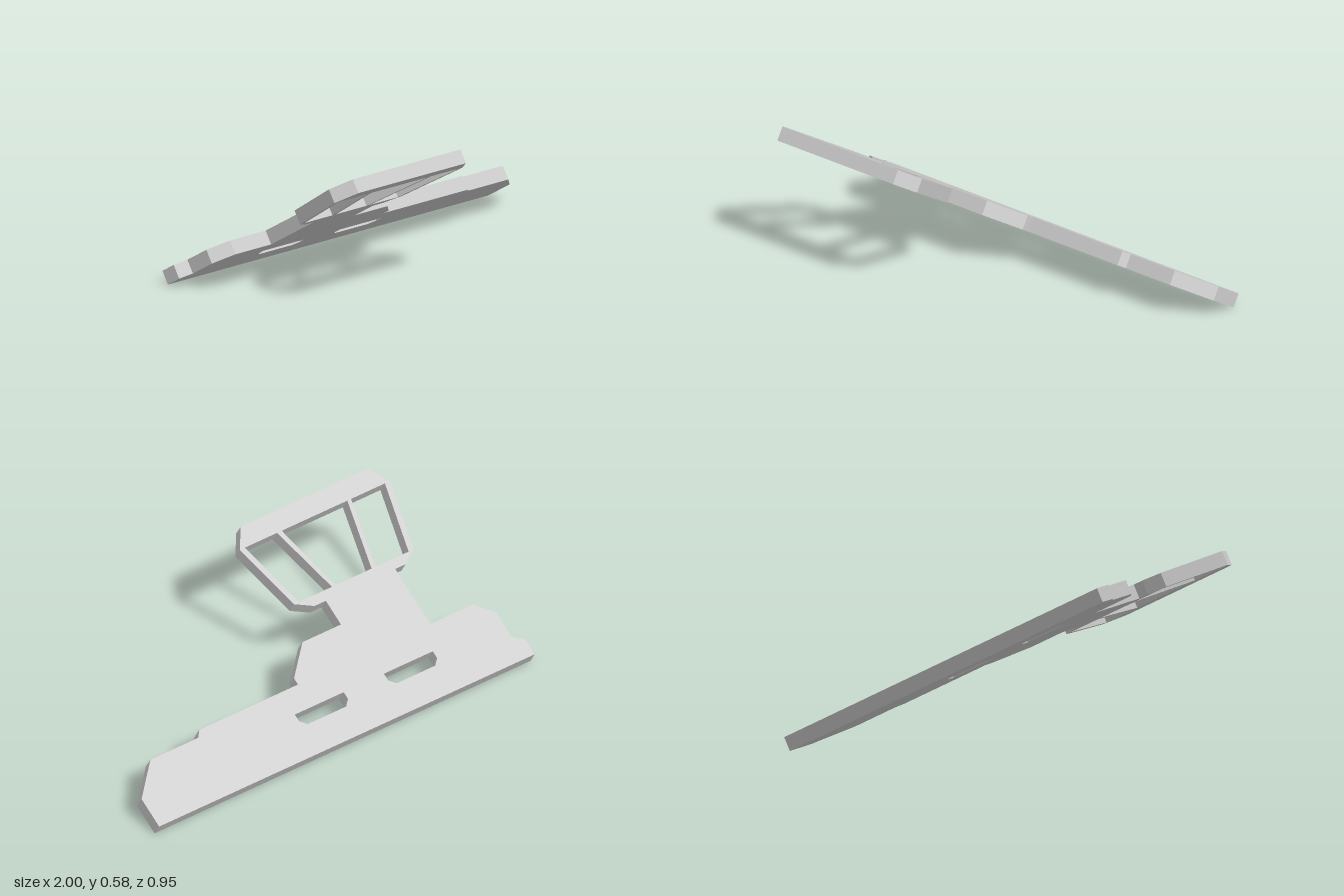
import * as THREE from 'three';

const THICKNESS = 0.0635;

const toPoints = (list) => list.map(([x, v]) => new THREE.Vector2(x, v));

// Slot with its two rear corners cut off
const slot = (x0, x1) => [
  [x0, 0.2], [x0, 0.165], [x0 + 0.027, 0.138],
  [x1 - 0.027, 0.138], [x1, 0.165], [x1, 0.2],
];

// Four-sided window: rear edge and front edge given by their x ranges
const trapezoid = (rear0, rear1, front0, front1) => [
  [rear0, 0.645], [rear1, 0.645], [front1, 0.963], [front0, 0.963],
];

export function createModel() {
  const model = new THREE.Group();
  model.name = 'tiltedPlate';
  const material = new THREE.MeshStandardMaterial({ color: 0xcccccc, flatShading: true });

  // Outline of the plate: x across, v along the slope from the rear edge
  const outline = new THREE.Shape(toPoints([
    // long base, right-hand stepped edge
    [-1, 0], [1, 0], [1, 0.143], [0.86, 0.285], [0.605, 0.285], [0.58, 0.315],
    [0.055, 0.315], [0.055, 0.347], [-0.075, 0.477], [-0.28, 0.477],
    // neck and framed head
    [-0.28, 0.6], [-0.22, 0.6], [-0.14, 0.645], [-0.06, 0.963], [-0.125, 1.055],
    [-0.797, 1.055], [-0.86, 0.963], [-0.778, 0.645], [-0.705, 0.6], [-0.65, 0.6],
    // left-hand end of the base
    [-0.65, 0.315], [-0.873, 0.315], [-0.95, 0.24], [-0.95, 0.113], [-1, 0.075],
  ]));

  // Two slots in the base and three windows in the head
  outline.holes = [
    slot(-0.587, -0.327),
    slot(-0.113, 0.147),
    trapezoid(-0.75, -0.575, -0.832, -0.652),
    trapezoid(-0.553, -0.363, -0.632, -0.283),
    trapezoid(-0.342, -0.167, -0.258, -0.086),
  ].map((list) => new THREE.Path(toPoints(list)));

  const plate = new THREE.Mesh(
    new THREE.ExtrudeGeometry(outline, { depth: THICKNESS, bevelEnabled: false }),
    material,
  );
  plate.name = 'plate';

  // Slope of 30 degrees, rising to the front, rear lower edge on the floor
  plate.rotation.x = Math.PI / 3;
  plate.position.set(0, 0.055, -0.473);
  model.add(plate);
  return model;
}
